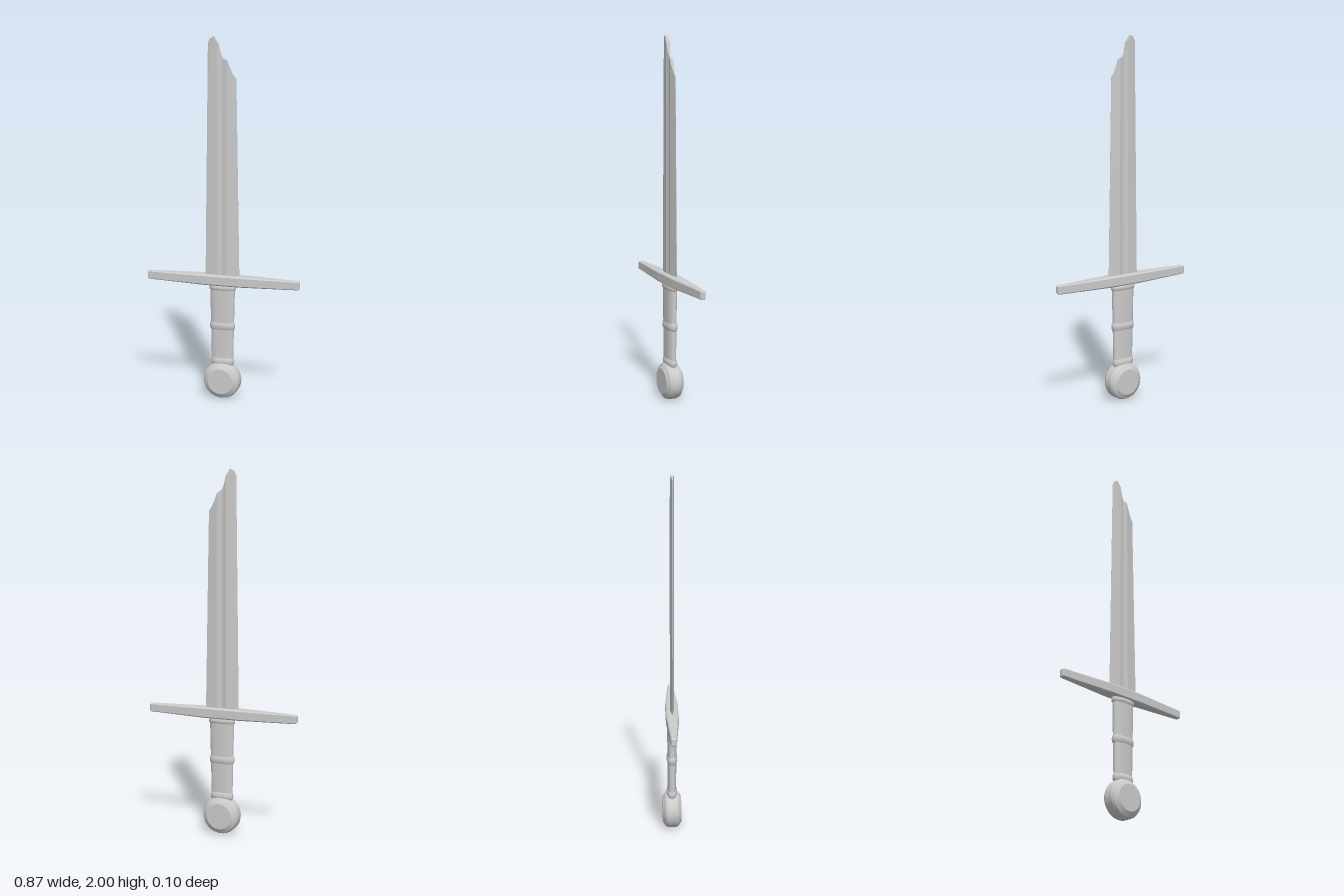
import * as THREE from 'three';
import { toCreasedNormals } from 'three/addons/utils/BufferGeometryUtils.js';

const material = new THREE.MeshStandardMaterial({ color: 0xcccccc });

// Skin a stack of equal rings (counterclockwise seen from +y); ends closed with strips.
function loft(rings, crease) {
  const n = rings[0].length;
  const index = [];
  for (let r = 0; r < rings.length - 1; r++) {
    for (let i = 0; i < n; i++) {
      const j = (i + 1) % n;
      const a = r * n + i, b = r * n + j, c = a + n, d = b + n;
      index.push(a, b, d, a, d, c);
    }
  }
  const top = (rings.length - 1) * n;
  for (let i = 0; i < n / 2 - 1; i++) {
    const p = i, q = i + 1, s = n - 2 - i, t = n - 1 - i;
    index.push(p, s, q, p, t, s);
    index.push(top + p, top + q, top + s, top + p, top + s, top + t);
  }
  const geometry = new THREE.BufferGeometry();
  geometry.setAttribute('position', new THREE.Float32BufferAttribute(rings.flat(2), 3));
  geometry.setIndex(index);
  return toCreasedNormals(geometry, crease);
}

function addMesh(group, name, geometry) {
  const mesh = new THREE.Mesh(geometry, material);
  mesh.name = name;
  group.add(mesh);
  return mesh;
}

// Flattened oval ring with half sizes a (x) and b (z)
function ovalRing(y, a, b, n = 32) {
  const ring = [];
  const soft = (v) => Math.sign(v) * Math.abs(v) ** 0.85;
  for (let i = 0; i < n; i++) {
    const t = Math.PI - ((i + 0.5) / n) * Math.PI * 2;
    ring.push([a * soft(Math.cos(t)), y, b * soft(Math.sin(t))]);
  }
  return ring;
}

// Rectangular ring with chamfered corners
function chamferRing(y, a, b, c) {
  const front = [[-a, b - c], [-a + c, b], [a - c, b], [a, b - c]];
  const back = front.map(([x, z]) => [x, -z]).reverse();
  return [...front, ...back].map(([x, z]) => [x, y, z]);
}

function bladeGeometry() {
  // base x, broken-edge x, broken-edge y, half thickness
  const columns = [
    [-0.098, -0.081, 1.965, 0.0005],
    [-0.075, -0.069, 1.99, 0.004],
    [-0.05, -0.048, 2.0, 0.0075],
    [-0.027, -0.026, 1.965, 0.011],
    [-0.012, -0.012, 1.915, 0.007],
    [0, 0, 1.89, 0.005],
    [0.027, 0.024, 1.875, 0.011],
    [0.055, 0.045, 1.825, 0.0065],
    [0.073, 0.058, 1.803, 0.004],
    [0.096, 0.076, 1.78, 0.0005],
  ];
  const ring = (pick) => [
    ...columns.map((c) => [...pick(c), c[3]]),
    ...columns.map((c) => [...pick(c), -c[3]]).reverse(),
  ];
  return loft([ring((c) => [c[0], 0.69]), ring((c) => [c[1], c[2]])], 0.04);
}

export function createModel() {
  const group = new THREE.Group();
  group.name = 'brokenSword';

  // Blade with a central groove and snapped tip
  addMesh(group, 'blade', bladeGeometry());

  // Crossguard: tapered bar, chamfered along edges and ends
  const half = [[0.1, 0.029, 0.035, 0.007], [0.427, 0.023, 0.015, 0.004], [0.434, 0.018, 0.01, 0.003]];
  const stations = [...half.map(([x, ...s]) => [-x, ...s]).reverse(), ...half];
  const guard = loft(stations.map((s) => chamferRing(...s)), 0.05);
  guard.rotateZ(-Math.PI / 2);
  addMesh(group, 'crossguard', guard).position.y = 0.679;

  // Grip, slightly narrower toward the pommel
  addMesh(group, 'grip', loft([
    ovalRing(0.18, 0.061, 0.023),
    ovalRing(0.4, 0.065, 0.025),
    ovalRing(0.66, 0.071, 0.027),
  ], 0.7));

  // Raised bands around the grip: bottom, top, x half size, z half size
  const bands = {
    lowerBand: [0.19, 0.235, 0.066, 0.03],
    middleBand: [0.395, 0.443, 0.072, 0.03],
    upperBand: [0.62, 0.655, 0.076, 0.031],
  };
  for (const [name, [y0, y1, a, b]] of Object.entries(bands)) {
    const rings = [[0, -0.007], [0.25, -0.001], [0.5, 0], [0.75, -0.001], [1, -0.007]];
    addMesh(group, name, loft(
      rings.map(([t, d]) => ovalRing(y0 + (y1 - y0) * t, a + d, b + d)), 0.9));
  }

  // Disc pommel with bevelled faces, its axis along z
  const profile = [[0, -0.052], [0.072, -0.052], [0.097, -0.036], [0.104, -0.022],
    [0.104, 0.022], [0.097, 0.036], [0.072, 0.052], [0, 0.052]];
  const pommel = new THREE.LatheGeometry(profile.map(([x, y]) => new THREE.Vector2(x, y)), 32);
  pommel.rotateX(Math.PI / 2);
  addMesh(group, 'pommel', toCreasedNormals(pommel, 0.45)).position.y = 0.104;

  return group;
}
